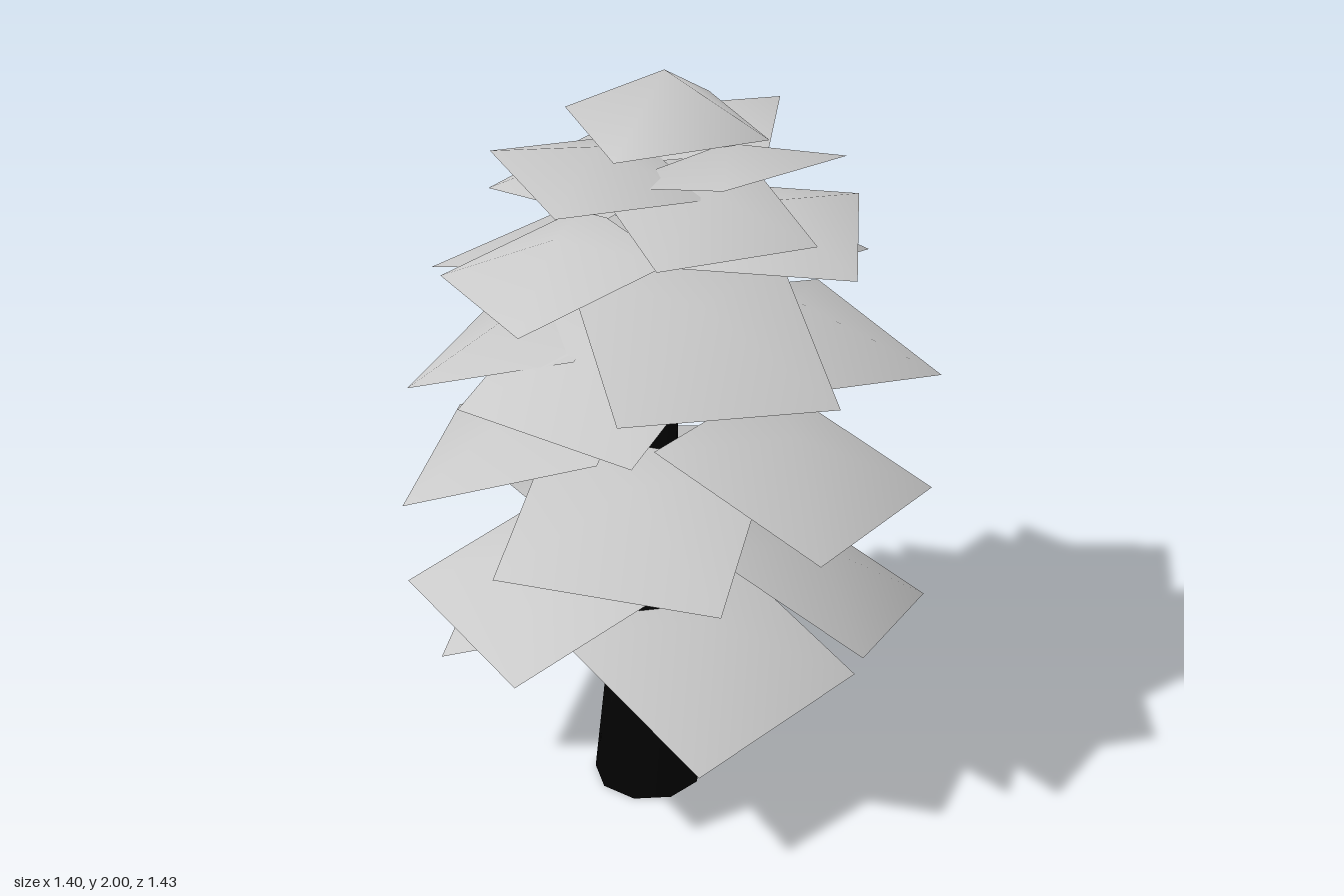
import * as THREE from 'three';

const barkMaterial = new THREE.MeshStandardMaterial({ color: 0x030303 });
barkMaterial.name = 'black bark';
const leafMaterial = new THREE.MeshStandardMaterial({ color: 0xcacaca, side: THREE.DoubleSide });
leafMaterial.name = 'pale grey foliage';

// Four corners around a raised centre, smooth over the dome
function domedCard(corners, rise, name) {
  const centre = corners.reduce((s, c) => s.add(c), new THREE.Vector3()).multiplyScalar(0.25);
  centre.y += rise;
  const g = new THREE.BufferGeometry().setFromPoints([...corners, centre]);
  g.setIndex([0, 1, 4, 1, 2, 4, 2, 3, 4, 3, 0, 4]);
  g.computeVertexNormals();
  const mesh = new THREE.Mesh(g, leafMaterial);
  mesh.name = name;
  return mesh;
}

// Card built inwards from its outer edge, rising by slope x width
function leafCard(p, q, slope, name) {
  let a = new THREE.Vector3(...p), b = new THREE.Vector3(...q);
  if (a.z * b.x - a.x * b.z < 0) [a, b] = [b, a];
  const width = Math.hypot(b.x - a.x, b.z - a.z);
  const inward = new THREE.Vector3(b.z - a.z, 0, a.x - b.x).normalize();
  const mid = a.clone().add(b);
  if (inward.x * mid.x + inward.z * mid.z > 0) inward.negate();
  const step = inward.multiplyScalar(width * 0.9);
  step.y = width * slope;
  return domedCard([a, b, b.clone().add(step), a.clone().add(step)], width * 0.17, name);
}

// Tapered limb lofted through rings [x, y, z, radius]
function limb(rings, sides, name) {
  const pts = [], index = [];
  rings.forEach(([x, y, z, r], i) => {
    for (let k = 0; k < sides; k++) {
      const t = (k / sides) * Math.PI * 2;
      pts.push(new THREE.Vector3(x + r * Math.cos(t), y, z + r * Math.sin(t)));
      if (i === 0) continue;
      const n = (k + 1) % sides, lo = (i - 1) * sides, hi = i * sides;
      index.push(lo + k, hi + k, lo + n, lo + n, hi + k, hi + n);
    }
  });
  const top = (rings.length - 1) * sides;
  for (let k = 1; k < sides - 1; k++) {
    index.push(0, k, k + 1, top, top + k + 1, top + k);
  }
  const g = new THREE.BufferGeometry().setFromPoints(pts);
  g.setIndex(index);
  g.computeVertexNormals();
  const mesh = new THREE.Mesh(g, barkMaterial);
  mesh.name = name;
  return mesh;
}

// Straight tapered branch
function branch(from, to, r0, r1) {
  const a = new THREE.Vector3(...from), d = new THREE.Vector3(...to).sub(a);
  const mesh = new THREE.Mesh(new THREE.CylinderGeometry(r1, r0, d.length(), 6), barkMaterial);
  mesh.position.copy(a).addScaledVector(d, 0.5);
  mesh.quaternion.setFromUnitVectors(new THREE.Vector3(0, 1, 0), d.normalize());
  mesh.name = 'branch';
  return mesh;
}

// Two outer corners and the slope of each card, tier by tier
const tiers = {
  lowest: [
    [[0.345, 0.33, 0.497], [0.548, 0.37, -0.06], 0.32],
    [[-0.47, 0.4, 0.38], [-0.6, 0.44, -0.13], 0.3],
    [[-0.12, 0.39, -0.59], [0.33, 0.51, -0.57], 0.34],
  ],
  low: [
    [[0.645, 0.51, -0.31], [0.66, 0.6, 0.19], 0.43],
    [[-0.55, 0.63, 0.4], [-0.06, 0.62, 0.715], 0.27],
    [[-0.58, 0.61, -0.21], [-0.19, 0.58, -0.57], 0.28],
  ],
  lowerMiddle: [
    [[-0.7, 0.86, -0.16], [-0.555, 0.855, 0.4], 0.3],
    [[-0.67, 0.94, -0.22], [-0.22, 0.88, -0.685], 0.32],
    [[0.7, 0.93, -0.16], [0.61, 0.96, 0.38], 0.3],
    [[-0.16, 0.86, 0.63], [0.41, 0.84, 0.52], 0.25],
    [[0.55, 0.75, -0.43], [0.07, 0.68, -0.72], 0.3],
  ],
  middle: [
    [[-0.34, 1.215, 0.46], [0.175, 1.2, 0.53], 0.32],
    [[0.685, 1.22, -0.23], [0.42, 1.325, 0.26], 0.15],
    [[-0.35, 1.165, -0.55], [0.21, 1.16, -0.66], 0.32],
    [[-0.585, 1.195, -0.14], [-0.54, 1.19, 0.37], 0.3],
  ],
  upperMiddle: [
    [[-0.19, 1.49, -0.61], [0.36, 1.385, -0.54], 0.2],
    [[0.6, 1.33, 0.26], [0.18, 1.355, 0.615], 0.32],
    [[-0.585, 1.43, 0.15], [-0.52, 1.385, -0.34], 0.22],
    [[-0.48, 1.48, 0.28], [-0.11, 1.5, 0.555], 0.24],
  ],
  upper: [
    [[0.555, 1.575, 0.06], [0.385, 1.61, -0.38], 0.04],
    [[-0.475, 1.625, 0.03], [-0.36, 1.66, -0.41], 0.06],
    [[0.465, 1.665, 0.1], [0.185, 1.67, 0.41], 0.16],
  ],
  crown: [
    [[-0.39, 1.79, 0.165], [-0.06, 1.775, 0.45], -0.04],
    [[0.12, 1.8, -0.475], [-0.295, 1.74, -0.335], 0],
    [[0.445, 1.815, -0.125], [0.3, 1.85, 0.29], -0.24],
  ],
};

export function createModel() {
  const tree = new THREE.Group();
  tree.name = 'tree';

  // Leaning trunk and branches
  const wood = new THREE.Group();
  wood.name = 'wood';
  wood.add(limb([
    [0.01, 0, 0.098, 0.148], [-0.01, 0.35, 0.07, 0.105], [-0.012, 0.65, 0.045, 0.075],
    [0, 0.9, 0.02, 0.054], [0.01, 1.2, -0.02, 0.034], [0, 1.45, -0.02, 0.02],
    [-0.03, 1.7, -0.02, 0.004],
  ], 9, 'trunk'));
  wood.add(branch([-0.03, 0.6, 0.03], [-0.2, 0.77, -0.2], 0.04, 0.015));
  wood.add(branch([0.02, 0.78, 0], [0.4, 1.0, -0.05], 0.025, 0.004));
  wood.add(branch([0, 1.33, 0], [-0.22, 1.49, 0.03], 0.018, 0.003));
  tree.add(wood);

  // Foliage tiers
  for (const [name, cards] of Object.entries(tiers)) {
    const tier = new THREE.Group();
    tier.name = name + 'Foliage';
    cards.forEach(([p, q, slope]) => tier.add(leafCard(p, q, slope, 'leafCard')));
    tree.add(tier);
  }

  // Cap at the tip
  const cap = [[0, -0.29], [-0.28, -0.03], [0, 0.26], [0.275, -0.04]];
  tree.add(domedCard(cap.map(([x, z]) => new THREE.Vector3(x, 1.857, z)), 0.143, 'treetopCap'));
  return tree;
}
